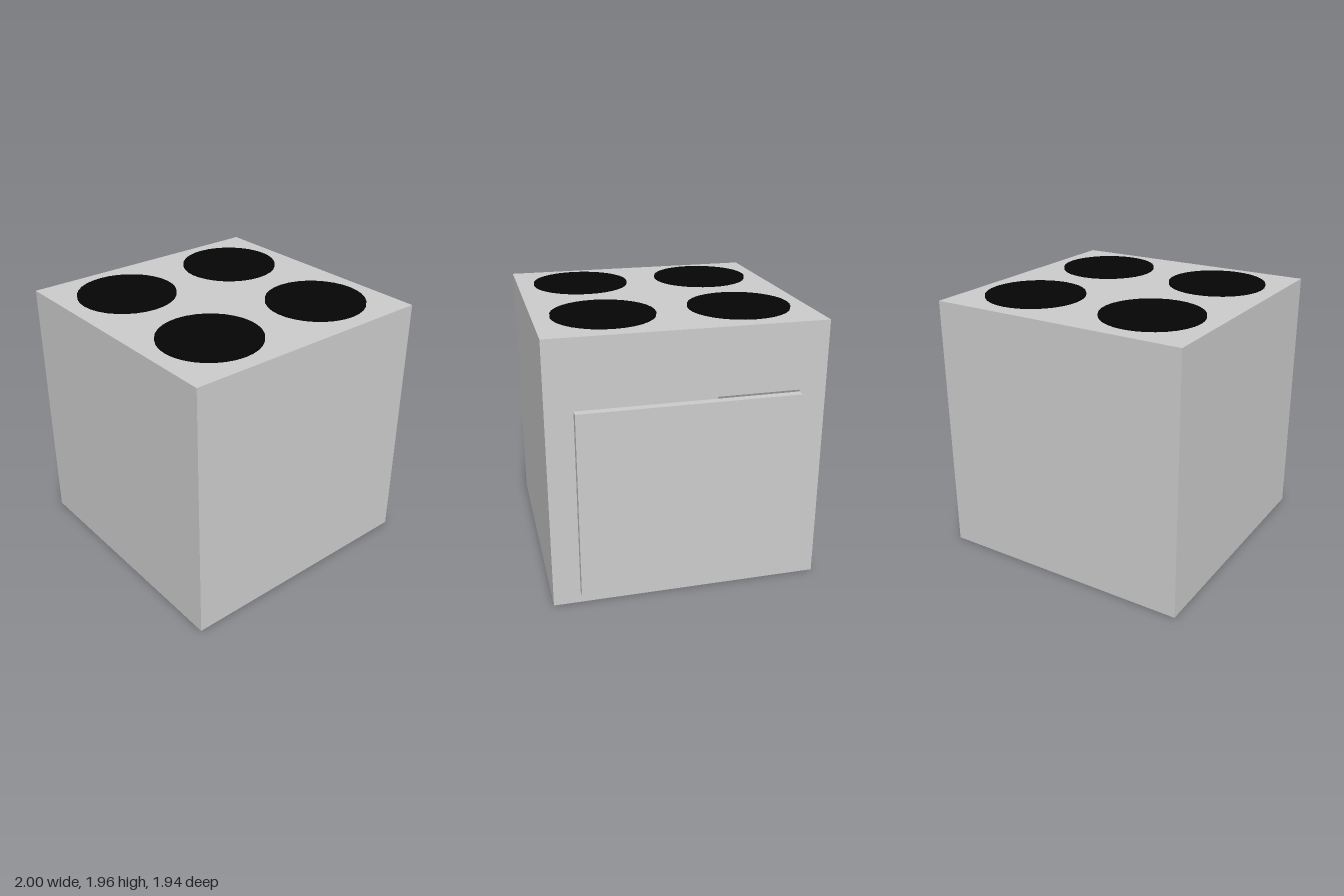
import * as THREE from 'three';

const grey = new THREE.MeshStandardMaterial({ color: 0xcccccc });
const black = new THREE.MeshStandardMaterial({ color: 0x050505 });

const HALF = 0.97;   // half the side of the cubic body
const SIDE = 0.94;   // x of the door side
const TOP = 1.941;   // height of the hob

function add(group, name, geometry, material, x = 0, y = 0, z = 0) {
  const mesh = new THREE.Mesh(geometry, material);
  mesh.name = name;
  mesh.position.set(x, y, z);
  group.add(mesh);
}

// Rectangle from -w to w and y0 to y1
function rect(Type, w, y0, y1) {
  return new Type([[-w, y0], [w, y0], [w, y1], [-w, y1]].map(([x, y]) => new THREE.Vector2(x, y)));
}

export function createModel() {
  const stove = new THREE.Group();
  stove.name = 'stove';

  // Body with an oven opening on the +x side
  const backX = -0.8;
  const shape = rect(THREE.Shape, HALF, 0, TOP);
  shape.holes.push(rect(THREE.Path, 0.777, 0.09, 1.46));
  const shell = new THREE.ExtrudeGeometry(shape, { depth: SIDE - backX, bevelEnabled: false });
  shell.rotateY(Math.PI / 2);
  add(stove, 'body', shell, grey, backX);

  // Wall closing the oven
  add(stove, 'rearWall', new THREE.BoxGeometry(1 + backX, TOP, HALF * 2), grey, (backX - 1) / 2, TOP / 2);

  // Door, a little lower than the opening
  add(stove, 'ovenDoor', new THREE.BoxGeometry(0.06, 1.357, 1.556), grey, 0.97, 0.09 + 1.357 / 2);

  // Four hot plates
  const plate = new THREE.CylinderGeometry(0.363, 0.363, 0.016, 32);
  for (const x of [-0.515, 0.455]) {
    for (const z of [-0.486, 0.484]) add(stove, 'hotPlate', plate, black, x, TOP + 0.008, z);
  }

  return stove;
}
